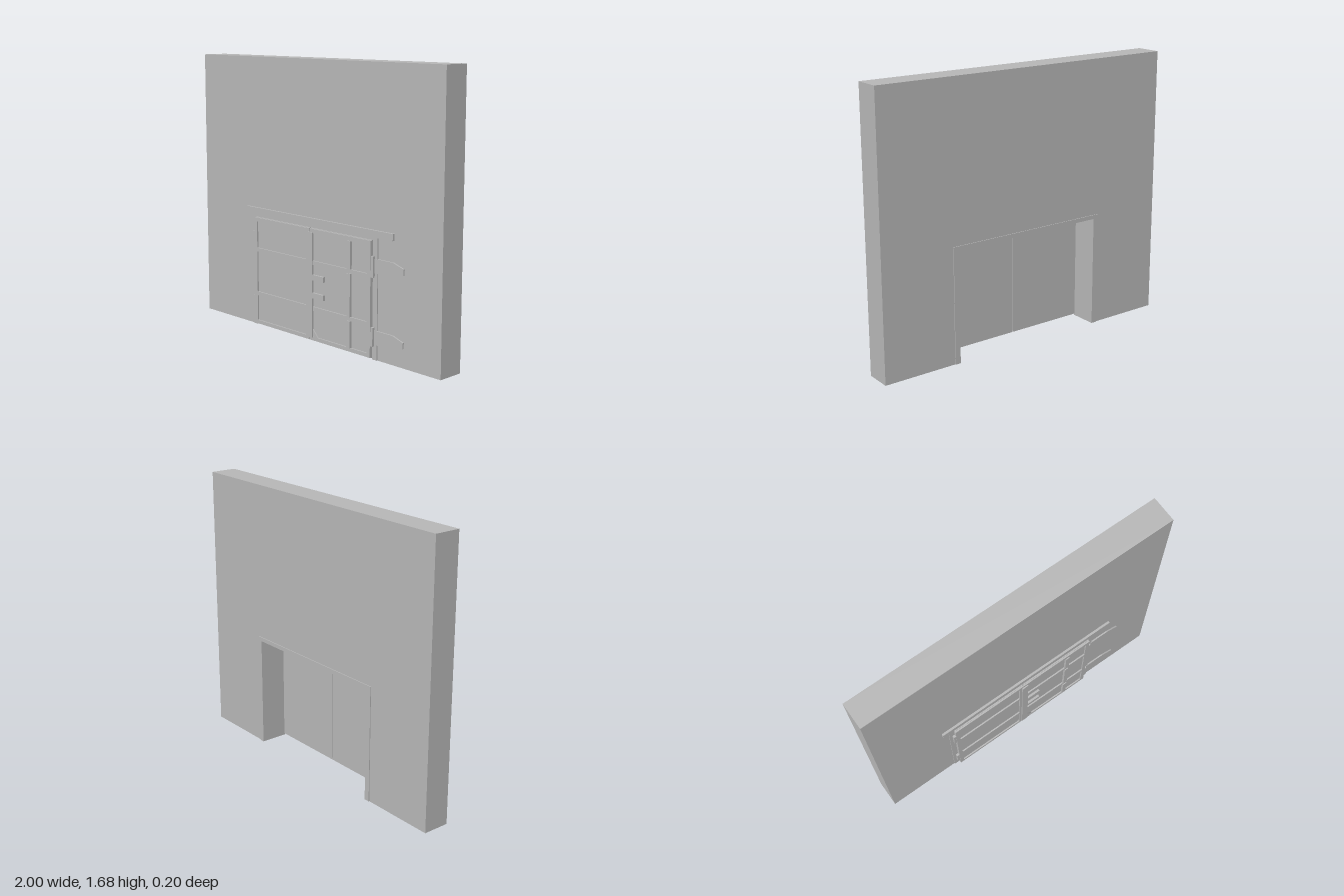
import * as THREE from 'three';

export function createModel() {
  const model = new THREE.Group();
  const grey = new THREE.MeshStandardMaterial({ color: 0xb8b8b8 });
  grey.name = 'plain grey';

  function add(parent, name, geometry) {
    const mesh = new THREE.Mesh(geometry, grey);
    mesh.name = name;
    parent.add(mesh);
    return mesh;
  }
  // Box given by its limits on each axis
  function box(parent, name, x0, x1, y0, y1, z0, z1) {
    const g = new THREE.BoxGeometry(x1 - x0, y1 - y0, z1 - z0);
    g.translate((x0 + x1) / 2, (y0 + y1) / 2, (z0 + z1) / 2);
    return add(parent, name, g);
  }
  // Flat outline given depth from z0 to z1
  function plate(parent, name, points, z0, z1) {
    const shape = new THREE.Shape(points.map(([x, y]) => new THREE.Vector2(x, y)));
    const g = new THREE.ExtrudeGeometry(shape, { depth: z1 - z0, bevelEnabled: false });
    g.translate(0, 0, z0);
    return add(parent, name, g);
  }
  // Outline of an upside-down U, open at the floor
  const arch = (w, h, iw, ih) => [
    [-w, 0], [-iw, 0], [-iw, ih], [iw, ih], [iw, 0], [w, 0], [w, h], [-w, h],
  ];

  const front = 0.068, back = -0.095;

  // Wall with doorway, and trim round both sides of the opening
  plate(model, 'wall', arch(1, 1.68, 0.5, 0.69), back, front);
  plate(model, 'backTrim', arch(0.535, 0.715, 0.5, 0.69), -0.1, back);
  plate(model, 'frontTrim', arch(0.535, 0.715, 0.5, 0.69), front, 0.074);

  // Rail above the doors
  box(model, 'topRail', -0.578, 0.655, 0.71, 0.75, front, 0.082);

  // Two door leaves with raised frames and cross rails
  for (const side of [-1, 1]) {
    const door = new THREE.Group();
    door.name = side < 0 ? 'rightDoor' : 'leftDoor';
    model.add(door);
    const x0 = side < 0 ? -0.499 : 0.002;
    const x1 = side < 0 ? -0.002 : 0.499;
    box(door, 'doorPanel', x0, x1, 0.01, 0.692, front, 0.084);
    box(door, 'topFrame', x0, x1, 0.665, 0.69, 0.084, 0.093);
    box(door, 'bottomFrame', x0, x1, 0.012, 0.035, 0.084, 0.093);
    box(door, 'leftStile', x0, x0 + 0.026, 0.035, 0.665, 0.084, 0.093);
    box(door, 'rightStile', x1 - 0.026, x1, 0.035, 0.665, 0.084, 0.093);
    for (const y of [0.195, 0.475]) {
      box(door, 'crossRail', x0 + 0.026, x1 - 0.026, y, y + 0.024, 0.084, 0.093);
    }
    // Hinge blocks on the outer edge
    for (const [y0, y1] of [[0.08, 0.19], [0.48, 0.603]]) {
      const a = side * 0.485, b = side * 0.515;
      box(door, 'hinge', Math.min(a, b), Math.max(a, b), y0, y1, 0.07, 0.09);
    }
  }

  // Middle cover strip and the broken upright on the left leaf
  box(model, 'meetingStrip', -0.012, 0.03, 0.03, 0.67, 0.09, 0.1);
  for (const [y0, y1] of [[0.035, 0.195], [0.22, 0.475], [0.5, 0.665]]) {
    box(model, 'upright', 0.317, 0.344, y0, y1, 0.084, 0.099);
  }

  // Latch bars and lower corner gusset beside the meeting strip
  for (const y of [0.272, 0.382]) {
    box(model, 'latchBar', 0.028, 0.123, y, y + 0.033, 0.084, 0.098);
  }
  plate(model, 'gusset', [[0.028, 0.035], [0.07, 0.035], [0.028, 0.08]], 0.084, 0.092);

  // Tapered hinge straps fixed to the wall
  for (const y of [0.09, 0.505]) {
    plate(model, 'hingeStrap', [
      [0.5, y], [0.655, y], [0.733, y + 0.023], [0.733, y + 0.058],
      [0.655, y + 0.083], [0.5, y + 0.083],
    ], front, 0.077);
  }

  return model;
}
